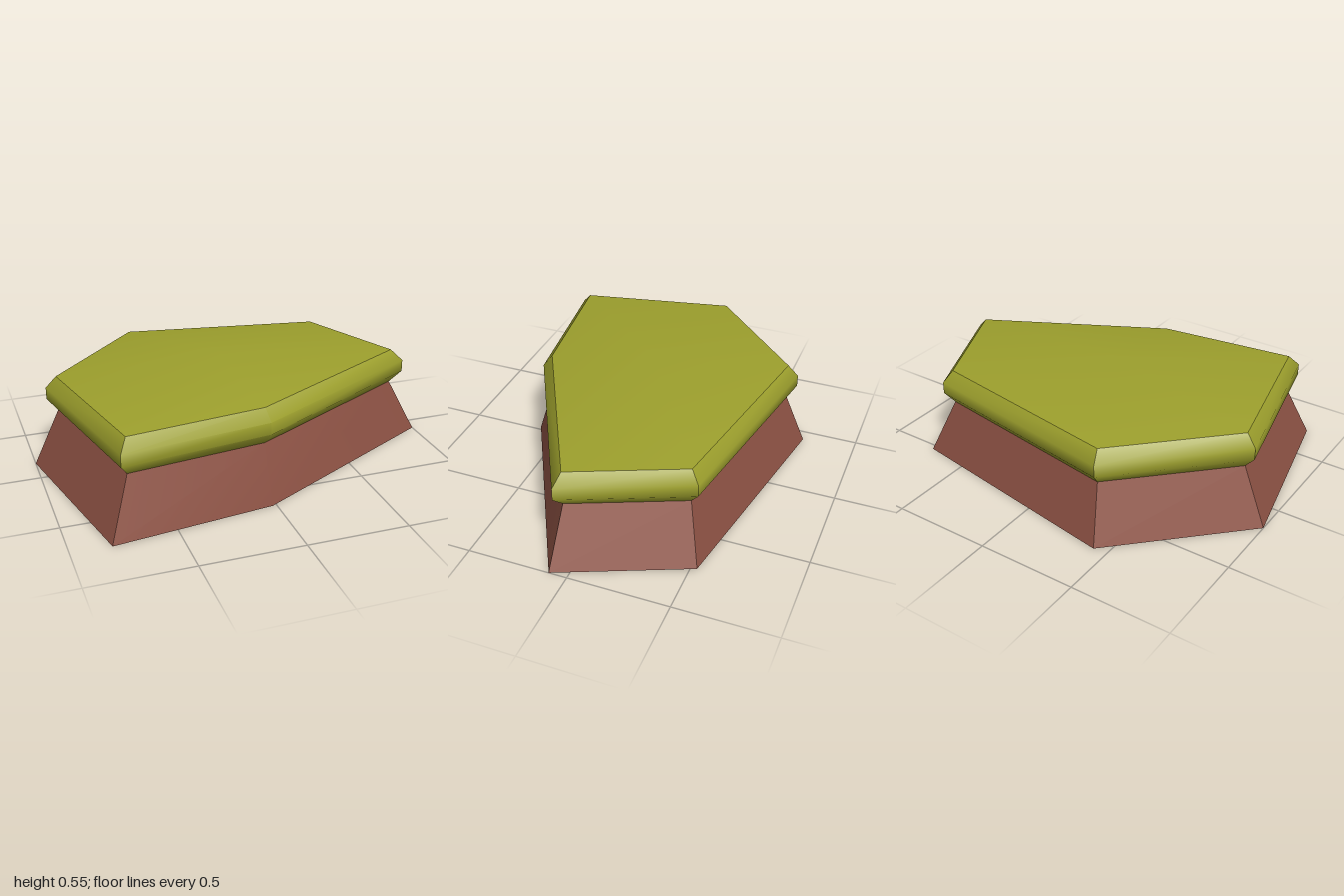
import * as THREE from 'three';
import { toCreasedNormals } from 'three/addons/utils/BufferGeometryUtils.js';

// Footprint corners [x, z], counter-clockwise seen from above
const FOOT = [[-0.81, 0.73], [-0.02, 0.63], [1, 0.09], [0.73, -0.53], [-0.43, -0.73], [-1, -0.16]];
const CX = -0.088;

// Shrinks the outline towards its centre
const scaled = (s) => FOOT.map(([x, z]) => [CX + (x - CX) * s, z * s]);

// Pushes every side of an outline outwards by d, with mitred corners
function offset(pts, d) {
  const n = pts.length;
  const normal = (a, b) => new THREE.Vector2(-(b[1] - a[1]), b[0] - a[0]).normalize();
  return pts.map((p, i) => {
    const n1 = normal(pts[(i + n - 1) % n], p);
    const n2 = normal(p, pts[(i + 1) % n]);
    const k = d / (1 + n1.dot(n2));
    return [p[0] + (n1.x + n2.x) * k, p[1] + (n1.y + n2.y) * k];
  });
}

// Joins rings { y, pts } from bottom to top and closes both ends with a fan
function loft(rings, bottomY, topY) {
  const pos = [];
  const n = FOOT.length;
  const last = rings[rings.length - 1];
  const at = (r, i) => [r.pts[i % n][0], r.y, r.pts[i % n][1]];
  for (let i = 0; i < n; i++) {
    for (let k = 0; k < rings.length - 1; k++) {
      const a = at(rings[k], i), b = at(rings[k], i + 1);
      const c = at(rings[k + 1], i + 1), d = at(rings[k + 1], i);
      pos.push(...a, ...b, ...c, ...a, ...c, ...d);
    }
    pos.push(...at(rings[0], i + 1), ...at(rings[0], i), CX, bottomY, 0);
    pos.push(...at(last, i), ...at(last, i + 1), CX, topY, 0);
  }
  const geo = new THREE.BufferGeometry();
  geo.setAttribute('position', new THREE.Float32BufferAttribute(pos, 3));
  return toCreasedNormals(geo, THREE.MathUtils.degToRad(41));
}

export function createModel() {
  const group = new THREE.Group();
  group.name = 'grassyPlatform';
  const earth = new THREE.MeshStandardMaterial({ color: 0x8d5244 });
  earth.name = 'earth brown';
  const grass = new THREE.MeshStandardMaterial({ color: 0x9da02d });
  grass.name = 'grass green';

  const add = (name, geo, mat) => {
    const mesh = new THREE.Mesh(geo, mat);
    mesh.name = name;
    group.add(mesh);
  };

  const inner = scaled(0.8575);
  const outer = offset(inner, 0.047);

  // Tapered earth base
  add('earthBase', loft([{ y: 0, pts: FOOT.map((p) => [...p]) }, { y: 0.29, pts: inner }], 0, 0.29), earth);

  // Bevelled grass slab rising to a shallow peak
  add('grassTop', loft([
    { y: 0.29, pts: inner },
    { y: 0.35, pts: outer },
    { y: 0.41, pts: outer },
    { y: 0.47, pts: inner },
  ], 0.29, 0.553), grass);

  return group;
}
